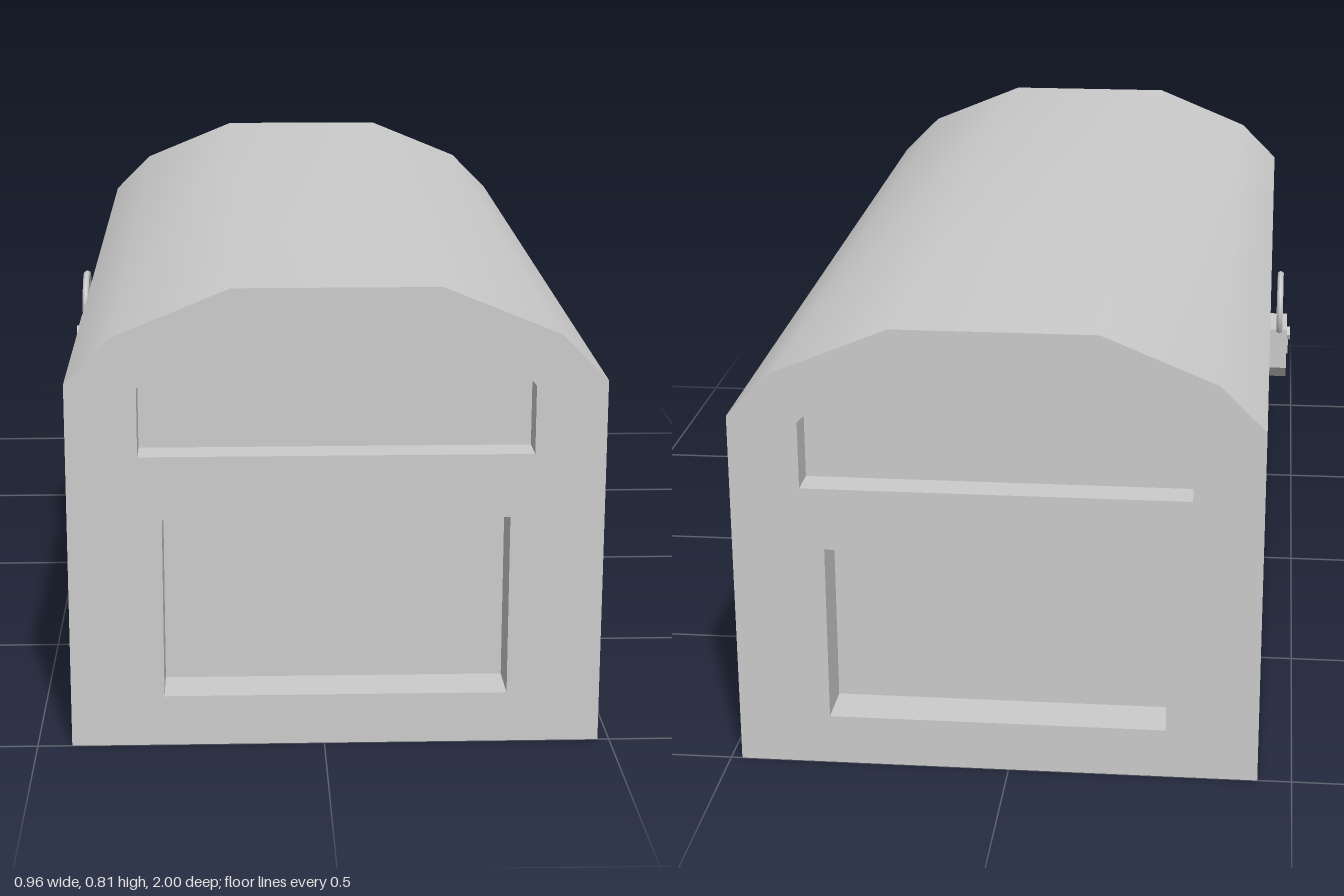
import * as THREE from 'three';

const flat = new THREE.MeshStandardMaterial({ color: 0xcccccc, flatShading: true, side: THREE.DoubleSide });
const smooth = new THREE.MeshStandardMaterial({ color: 0xcccccc, side: THREE.DoubleSide });

const rect = (w, y0, y1) => [[-w, y0], [w, y0], [w, y1], [-w, y1]];
const toPoints = (list) => list.map(([x, y]) => new THREE.Vector2(x, y));

function add(parent, name, geometry, material = flat) {
  const mesh = new THREE.Mesh(geometry, material);
  mesh.name = name;
  parent.add(mesh);
  return mesh;
}

// Band of quads running round an outline from z = 0 back to z = -depth, facing inwards
function recessRim(outline, depth) {
  const pos = [];
  outline.forEach(([ax, ay], i) => {
    const [bx, by] = outline[(i + 1) % outline.length];
    pos.push(ax, ay, 0, bx, by, 0, bx, by, -depth, ax, ay, 0, bx, by, -depth, ax, ay, -depth);
  });
  const g = new THREE.BufferGeometry();
  g.setAttribute('position', new THREE.Float32BufferAttribute(pos, 3));
  g.computeVertexNormals();
  return g;
}

// Thin wall in the xy plane with sunken panels
function panelledWall(name, outline, recesses) {
  const wall = new THREE.Group();
  wall.name = name;
  const shape = new THREE.Shape(toPoints(outline));
  for (const { points, depth } of recesses) {
    shape.holes.push(new THREE.Path(toPoints(points)));
    add(wall, 'recessRim', recessRim(points, depth));
    const panel = new THREE.ShapeGeometry(new THREE.Shape(toPoints(points)));
    add(wall, 'recessPanel', panel.translate(0, 0, -depth));
  }
  add(wall, 'wallFrame', new THREE.ShapeGeometry(shape));
  return wall;
}

export function createModel() {
  const model = new THREE.Group();
  model.name = 'chest';
  const body = new THREE.Group();
  body.name = 'chestBody';
  body.position.x = 0.02;
  model.add(body);

  const half = 0.46;
  const arch = [[-half, 0.65], [-0.38, 0.73], [-0.178, 0.813], [0.178, 0.813], [0.38, 0.73], [half, 0.65]];

  // End walls, with a low panel and an arched lid panel
  const endOutline = [[-half, 0], [half, 0], ...[...arch].reverse()];
  const archPanel = [[-0.338, 0.522], [0.338, 0.522], [0.338, 0.642], [0.278, 0.703],
    [0.13, 0.765], [-0.13, 0.765], [-0.278, 0.703], [-0.338, 0.642]];
  for (const s of [1, -1]) {
    const end = panelledWall(s > 0 ? 'frontWall' : 'backWall', endOutline, [
      { points: rect(0.298, 0.09, 0.41), depth: 0.09 },
      { points: archPanel, depth: 0.06 },
    ]);
    end.position.z = s;
    end.rotation.y = s > 0 ? 0 : Math.PI;
    body.add(end);

    // Long side walls
    const side = panelledWall(s > 0 ? 'leftWall' : 'rightWall', rect(1, 0, 0.65), [
      { points: rect(0.885, 0.09, 0.41), depth: 0.085 },
    ]);
    side.position.x = s * half;
    side.rotation.y = s * Math.PI / 2;
    body.add(side);
  }

  // Arched lid: a flat sheet bent onto the arch
  const lid = new THREE.PlaneGeometry(1, 2, arch.length - 1, 1).rotateX(-Math.PI / 2);
  const p = lid.attributes.position;
  for (let i = 0; i < p.count; i++) {
    const [x, y] = arch[i % arch.length];
    p.setXY(i, x, y);
  }
  lid.computeVertexNormals();
  add(body, 'lid', lid, smooth);

  // Padlock, drawn facing +z then turned to the right side
  const lock = new THREE.Group();
  lock.name = 'padlock';
  lock.position.x = -0.438;
  lock.rotation.y = -Math.PI / 2;
  model.add(lock);
  const lockShape = new THREE.Shape(toPoints([[-0.03, 0.425], [0.03, 0.425], [0.057, 0.452],
    [0.057, 0.535], [-0.057, 0.535], [-0.057, 0.452]]));
  add(lock, 'lockBody', new THREE.ExtrudeGeometry(lockShape, { depth: 0.037, bevelEnabled: false }));

  // Raised keyhole
  const knob = new THREE.CylinderGeometry(0.014, 0.014, 0.008, 8).rotateX(Math.PI / 2);
  add(lock, 'keyholeTop', knob).position.set(0, 0.51, 0.04);
  add(lock, 'keyholeSlot', new THREE.BoxGeometry(0.012, 0.035, 0.004)).position.set(0, 0.485, 0.038);

  // Shackle
  const dip = 0.6;
  const shackle = new THREE.TorusGeometry(0.066, 0.007, 6, 14, Math.PI + 2 * dip).rotateZ(-dip);
  add(lock, 'shackle', shackle, smooth).position.set(0, 0.569, 0.021);

  return model;
}
